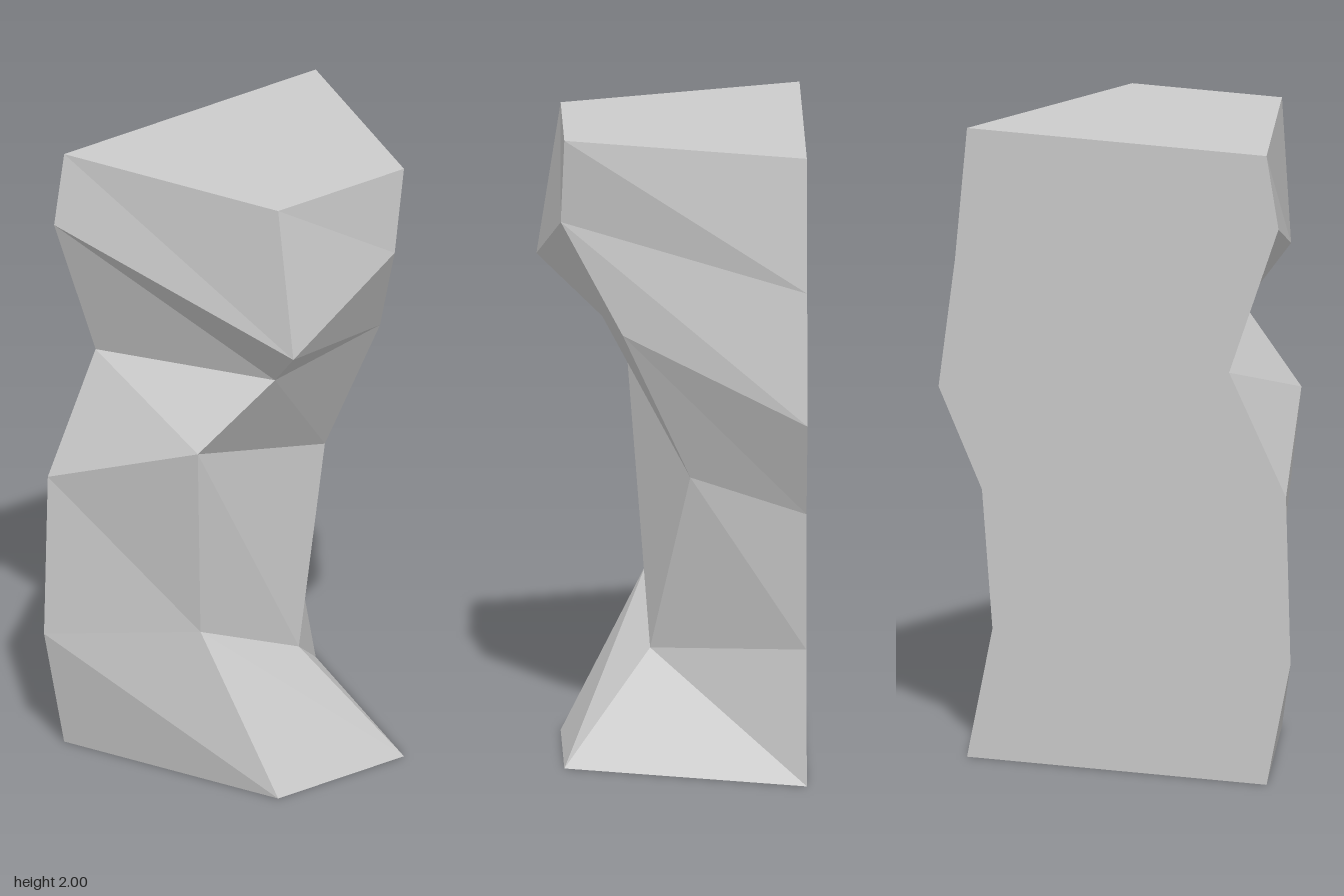
import * as THREE from 'three';

// Four jagged corner edges, bottom to top, in order around the rock: [x, y, z]
const BACK = -0.41;
const backRight = [[-0.51, 0], [-0.59, 0.39], [-0.575, 0.92], [-0.385, 1.3], [-0.55, 1.77], [-0.51, 2]]
  .map(([x, y]) => [x, y, BACK]);
const frontRight = [[-0.26, 0, 0.335], [-0.355, 0.5, 0.07], [-0.41, 1.14, 0.125],
  [-0.18, 1.36, 0.22], [-0.26, 1.52, 0.41], [-0.26, 2, 0.335]];
const frontLeft = [[0.24, 0, 0.335], [0.04, 0.335, 0.065], [0.24, 0.925, -0.055],
  [0.29, 1.39, 0.155], [0.195, 1.73, 0.345], [0.24, 2, 0.335]];
const backLeft = [[0.49, 0], [0.405, 0.415], [0.44, 0.855], [0.585, 1.17], [0.53, 1.58], [0.49, 2]]
  .map(([x, y]) => [x, y, BACK]);

export function createModel() {
  const edges = [backRight, frontRight, frontLeft, backLeft];
  const levels = backRight.length;
  const positions = edges.flat(2);
  const id = (edge, level) => (edge % 4) * levels + level;
  const indices = [];

  // Facets between neighbouring corner edges
  for (let e = 0; e < 4; e++) {
    for (let l = 0; l < levels - 1; l++) {
      const a = id(e, l), b = id(e + 1, l), c = id(e + 1, l + 1), d = id(e, l + 1);
      indices.push(a, b, d, b, c, d);
    }
  }

  // Flat top and bottom
  const top = levels - 1;
  indices.push(id(0, top), id(1, top), id(2, top), id(0, top), id(2, top), id(3, top));
  indices.push(id(0, 0), id(2, 0), id(1, 0), id(0, 0), id(3, 0), id(2, 0));

  const indexed = new THREE.BufferGeometry();
  indexed.setAttribute('position', new THREE.Float32BufferAttribute(positions, 3));
  indexed.setIndex(indices);
  const geometry = indexed.toNonIndexed();
  geometry.computeVertexNormals();

  const rock = new THREE.Mesh(geometry,
    new THREE.MeshStandardMaterial({ color: 0xcccccc, flatShading: true }));
  rock.name = 'rockPillar';

  const group = new THREE.Group();
  group.name = 'rockWallSection';
  group.add(rock);
  return group;
}
